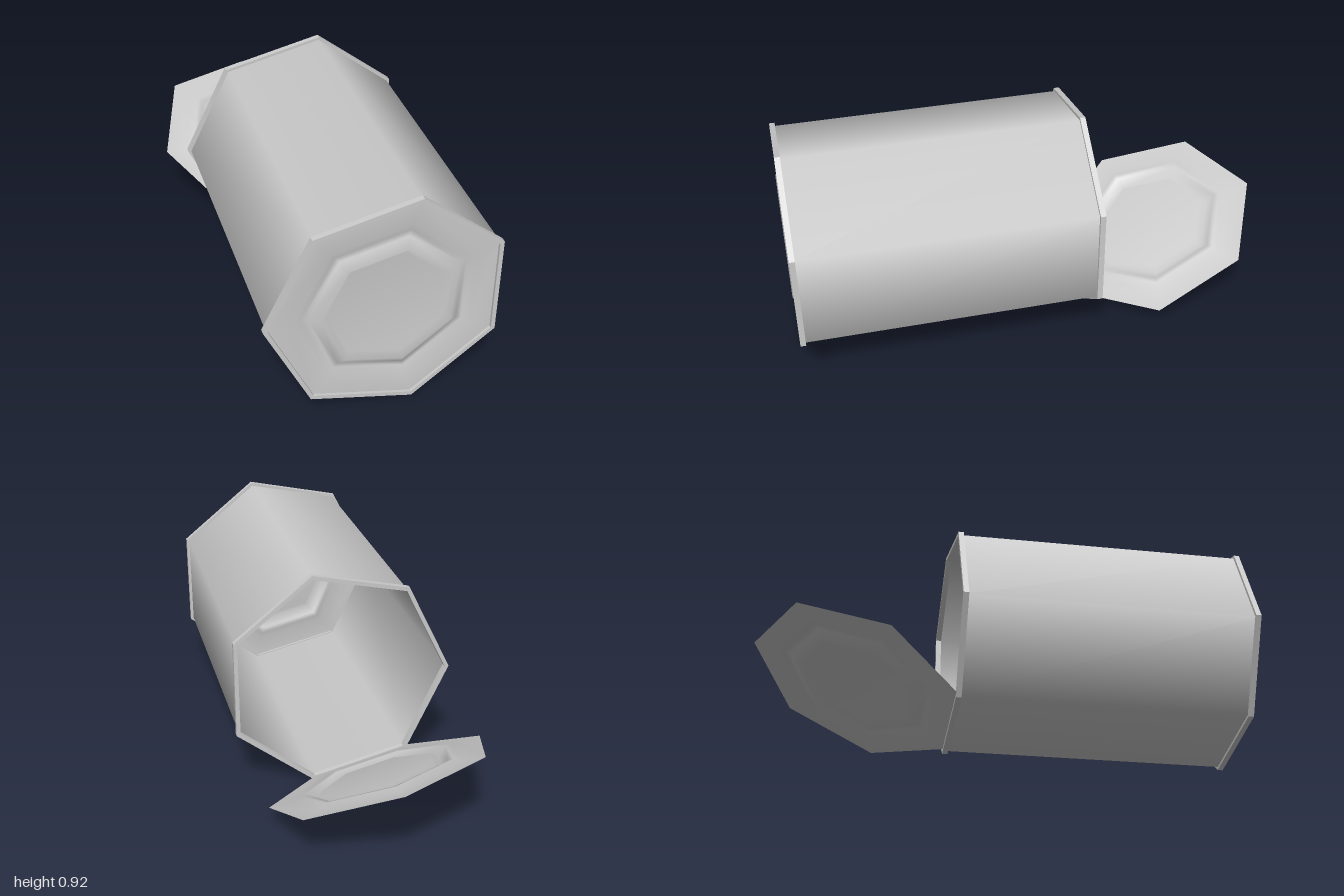
import * as THREE from 'three';

const SIDES = 7;
const CENTRE_X = 0.04, CENTRE_Y = 0.4625;

const metal = new THREE.MeshStandardMaterial({ color: 0xcccccc, side: THREE.DoubleSide });

// Seven-sided lathe around z, with one corner pointing along the given angle
function latheZ(profile, cornerAngle) {
  const points = profile.map(([r, z]) => new THREE.Vector2(r, z));
  const geometry = new THREE.LatheGeometry(points, SIDES, cornerAngle + Math.PI / 2);
  return geometry.rotateX(Math.PI / 2);
}

function addPart(parent, name, geometry) {
  const mesh = new THREE.Mesh(geometry, metal);
  mesh.name = name;
  parent.add(mesh);
  return mesh;
}

// Pressed end panel: flat border, groove, raised bead, shallow centre
function panelProfile(radius) {
  return [
    [radius, 0], [0.36, 0], [0.325, -0.015], [0.3, -0.012],
    [0.26, 0.015], [0.235, -0.006], [0, -0.006],
  ];
}

function heptagon(target, radius) {
  for (let i = 0; i < SIDES; i++) {
    const a = Math.PI + (i * 2 * Math.PI) / SIDES;
    const x = radius * Math.cos(a), y = radius * Math.sin(a);
    if (i === 0) target.moveTo(x, y);
    else target.lineTo(x, y);
  }
  target.closePath();
  return target;
}

function rimGeometry() {
  const shape = heptagon(new THREE.Shape(), 0.47);
  shape.holes.push(heptagon(new THREE.Path(), 0.452));
  return new THREE.ExtrudeGeometry(shape, { depth: 0.022, bevelEnabled: false });
}

export function createModel() {
  const model = new THREE.Group();
  model.name = 'openTinCan';

  // Can lying on its side, open at the back
  const can = new THREE.Group();
  can.name = 'can';
  can.position.set(CENTRE_X, CENTRE_Y, 0);
  model.add(can);

  addPart(can, 'body', latheZ([[0.457, -0.2], [0.457, 0.99]], Math.PI));
  addPart(can, 'frontRim', rimGeometry()).position.z = 0.974;
  addPart(can, 'backRim', rimGeometry()).position.z = -0.21;
  addPart(can, 'basePanel', latheZ(panelProfile(0.457), Math.PI)).position.z = 0.985;

  // Lid folded back, hinged on the lower edge of the open end
  const lid = addPart(model, 'lid', latheZ(panelProfile(0.455), Math.PI / 2));
  const hinge = new THREE.Vector3(-0.975, 0.2225, 0);
  const tilt = THREE.MathUtils.degToRad(22.3);
  const up = new THREE.Vector3(
    0.2225 * Math.sin(tilt), 0.975 * Math.sin(tilt), -Math.cos(tilt));
  const outward = new THREE.Vector3().crossVectors(hinge, up);
  lid.quaternion.setFromRotationMatrix(new THREE.Matrix4().makeBasis(hinge, up, outward));
  lid.position.set(-0.03, 0.216, -0.58);

  return model;
}
